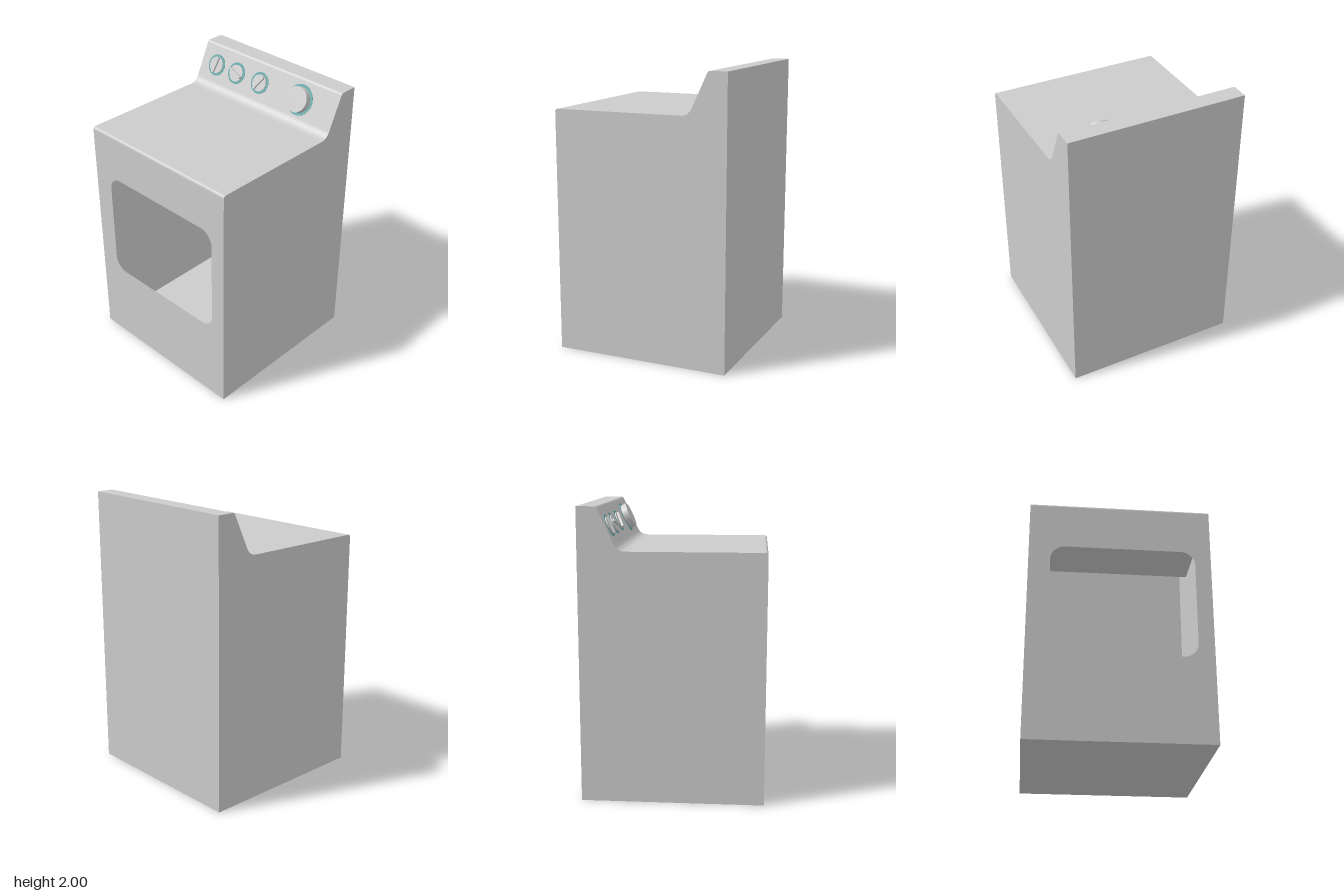
import * as THREE from 'three';

const W = 0.622, D = 0.622;       // half width, half depth
const TOP = 1.71, BEVEL = 0.022;  // worktop height, front edge rounding
const TILT = Math.atan(0.466);    // lean of the control panel
const panelZ = (y) => -0.426 - (y - 1.86) * 0.466;

const grey = new THREE.MeshStandardMaterial({ color: 0xcccccc });
const shell = new THREE.MeshStandardMaterial({ color: 0xcccccc, side: THREE.DoubleSide });
const teal = new THREE.MeshStandardMaterial({ color: 0x60a4a4 });

function add(parent, name, geometry, material) {
  const mesh = new THREE.Mesh(geometry, material);
  mesh.name = name;
  parent.add(mesh);
  return mesh;
}

// Side outline in (z, y), from the front's top edge over the top, down the back and along the bottom
function outline(path) {
  const dir = [-Math.sin(TILT), Math.cos(TILT)];
  const low = [panelZ(TOP), TOP], high = [panelZ(2), 2];
  const along = (p, d) => [p[0] + dir[0] * d, p[1] + dir[1] * d];
  path.moveTo(D, TOP - BEVEL);
  path.quadraticCurveTo(D, TOP, D - BEVEL, TOP);
  path.lineTo(low[0] + 0.055, TOP);
  path.quadraticCurveTo(...low, ...along(low, 0.055));
  path.lineTo(...along(high, -0.018));
  path.quadraticCurveTo(...high, high[0] - 0.012, 2);
  path.lineTo(-D, 2);
  path.lineTo(-D, 0);
  path.lineTo(D, 0);
  return path;
}

// Sweep the outline across the width: smooth along curves, sharp at corners
function wrapGeometry() {
  const pos = [], nor = [], index = [];
  for (const curve of outline(new THREE.Path()).curves) {
    const n = curve.isLineCurve ? 1 : 10;
    for (let i = 0; i <= n; i++) {
      const p = curve.getPoint(i / n), t = curve.getTangent(i / n);
      const a = pos.length / 3;
      for (const x of [-W, W]) {
        pos.push(x, p.y, p.x);
        nor.push(0, -t.x, t.y);
      }
      if (i < n) index.push(a, a + 1, a + 3, a, a + 3, a + 2);
    }
  }
  const g = new THREE.BufferGeometry();
  g.setAttribute('position', new THREE.Float32BufferAttribute(pos, 3));
  g.setAttribute('normal', new THREE.Float32BufferAttribute(nor, 3));
  g.setIndex(index);
  return g;
}

// Flat side wall, s = +1 for left (+x), -1 for right
function sideGeometry(s) {
  const pts = outline(new THREE.Path()).getPoints(10);
  const shape = new THREE.Shape(pts.map((p) => new THREE.Vector2(-s * p.x, p.y)));
  return new THREE.ShapeGeometry(shape).rotateY(s * Math.PI / 2).translate(s * W, 0, 0);
}

// Front wall with a rounded door opening
function frontGeometry() {
  const h = TOP - BEVEL;
  const wall = new THREE.Shape().moveTo(-W, 0).lineTo(W, 0).lineTo(W, h).lineTo(-W, h);
  const [l, r, b, t, c] = [-0.475, 0.513, 0.594, 1.378, 0.1];
  const hole = new THREE.Path();
  hole.absarc(r - c, t - c, c, 0, Math.PI / 2);
  hole.absarc(l + c, t - c, c, Math.PI / 2, Math.PI);
  hole.absarc(l + c, b + c, c, Math.PI, Math.PI * 1.5);
  hole.absarc(r - c, b + c, c, Math.PI * 1.5, Math.PI * 2);
  hole.closePath();
  wall.holes.push(hole);
  return new THREE.ShapeGeometry(wall, 10).translate(0, 0, D);
}

// Round disc lying on the panel, from its surface out to the given height
const disc = (r, height) =>
  new THREE.CylinderGeometry(r, r, height, 40).rotateX(Math.PI / 2).translate(0, 0, height / 2);

function makeKnob(name, x, ringRadius, radius, height) {
  const knob = new THREE.Group();
  knob.name = name;
  knob.position.x = x;
  add(knob, name + 'Ring', disc(ringRadius, 0.002), teal);
  add(knob, name + 'Body', disc(radius, height), grey);
  return knob;
}

export function createModel() {
  const model = new THREE.Group();
  model.name = 'dryer';

  // Thin hollow cabinet
  const cabinet = new THREE.Group();
  cabinet.name = 'cabinet';
  model.add(cabinet);
  add(cabinet, 'topBackAndBottom', wrapGeometry(), shell);
  add(cabinet, 'leftSide', sideGeometry(1), shell);
  add(cabinet, 'rightSide', sideGeometry(-1), shell);
  add(cabinet, 'frontWithDoorOpening', frontGeometry(), shell);

  // Controls on the leaning panel
  const controls = new THREE.Group();
  controls.name = 'controls';
  controls.position.set(0, 1.867, panelZ(1.867));
  controls.rotation.x = -TILT;
  model.add(controls);

  controls.add(makeKnob('timerKnob', 0.315, 0.108, 0.089, 0.045));

  // Three small knobs with a grip bar turned to different angles
  [[-0.475, 82], [-0.277, -20], [-0.053, 60]].forEach(([x, angle], i) => {
    const knob = makeKnob('smallKnob' + (i + 1), x, 0.077, 0.06, 0.009);
    const grip = add(knob, 'grip', new THREE.BoxGeometry(0.116, 0.018, 0.024), grey);
    grip.position.z = 0.012;
    grip.rotation.z = THREE.MathUtils.degToRad(angle);
    controls.add(knob);
  });

  return model;
}
